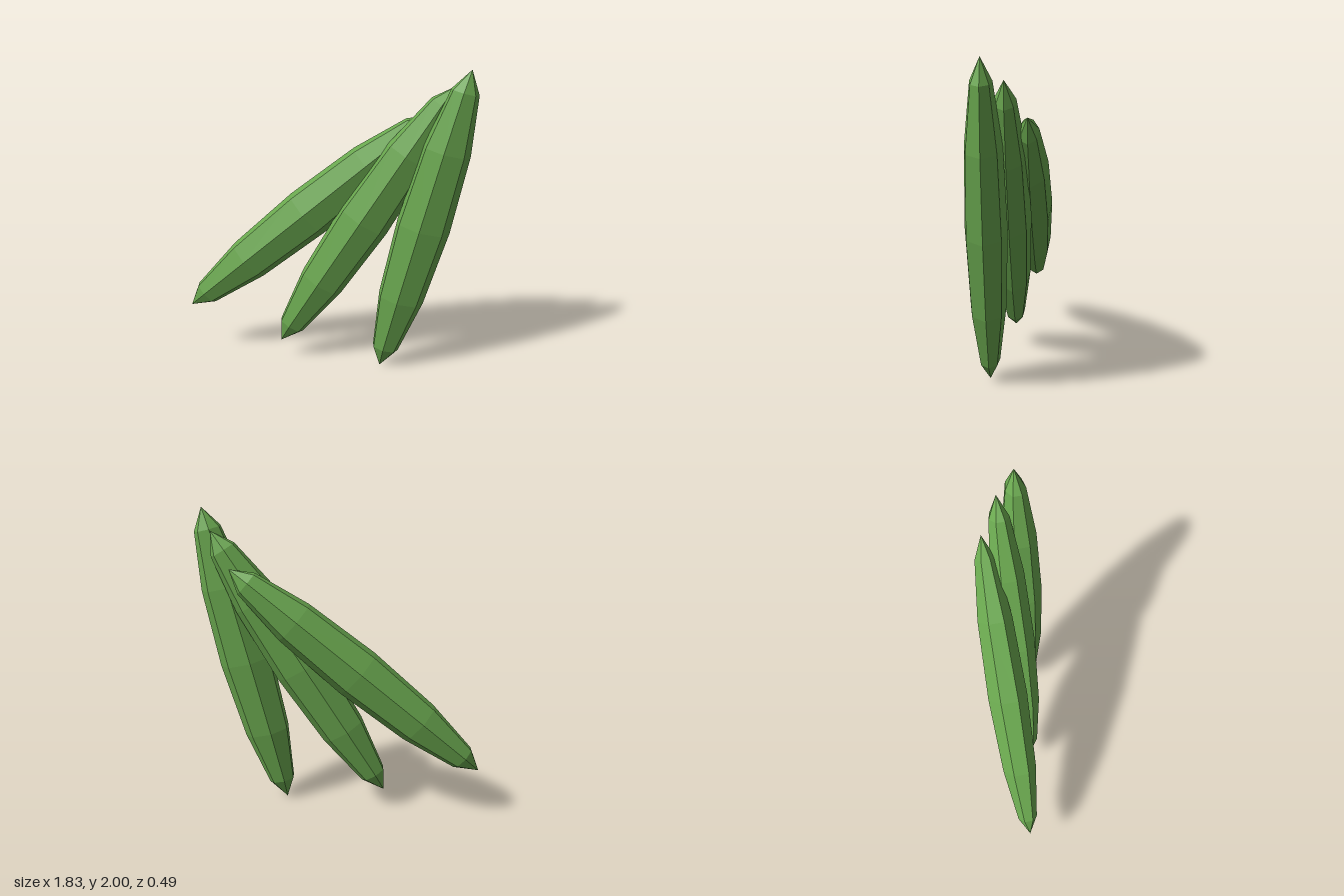
import * as THREE from 'three';

export function createModel() {
  const model = new THREE.Group();
  const podGreen = new THREE.MeshStandardMaterial({ color: 0x6aa84f, flatShading: true });
  podGreen.name = 'podGreen';

  // One seven-sided pod, pointed at both ends, with a ridge along +x
  const podShape = new THREE.SphereGeometry(1, 7, 6, Math.PI);
  podShape.scale(0.177, 1.031, 0.128);

  // Three pods fanned out from the upper left, each one behind the last
  ['frontPod', 'middlePod', 'backPod'].forEach((name, i) => {
    const pod = new THREE.Mesh(podShape, podGreen);
    pod.name = name;
    pod.position.set(0.61 - 0.367 * i, 1, 0.12 * (1 - i));
    pod.rotation.z = -THREE.MathUtils.degToRad(14 + 18 * i);
    model.add(pod);
  });

  return model;
}
